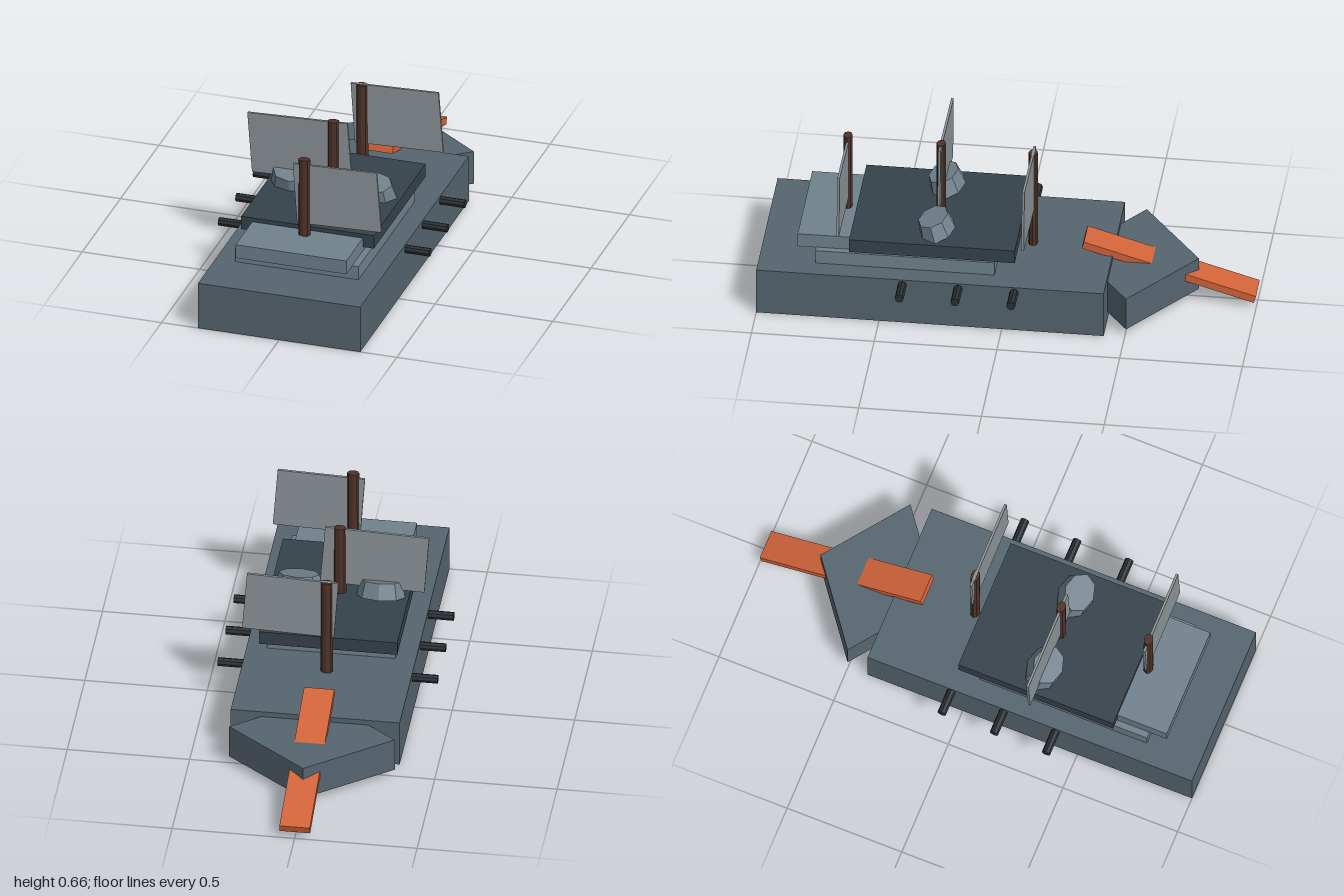
import * as THREE from 'three';

const paint = (color) => new THREE.MeshStandardMaterial({ color, flatShading: true });

export function createModel() {
  const ship = new THREE.Group();
  ship.name = 'ship';
  const slate = paint(0x56656f), dark = paint(0x36424b), light = paint(0x71828d);
  const wood = paint(0x4e3329), iron = paint(0x2a3035), orange = paint(0xd2643a);
  const canvas = paint(0x8c9498);
  canvas.side = THREE.DoubleSide;

  const add = (name, geometry, material, x = 0, y = 0, z = 0) => {
    const mesh = new THREE.Mesh(geometry, material);
    mesh.name = name;
    mesh.position.set(x, y, z);
    ship.add(mesh);
    return mesh;
  };

  // Centred block given by half width, height range and depth range
  const block = (name, material, hx, y0, y1, z0, z1) =>
    add(name, new THREE.BoxGeometry(2 * hx, y1 - y0, z1 - z0), material, 0, (y0 + y1) / 2, (z0 + z1) / 2);

  // Hull and stacked decks
  block('hull', slate, 0.345, 0, 0.203, -0.415, 1);
  block('lowerCabin', light, 0.262, 0.2, 0.262, 0.04, 0.77);
  block('upperCabin', light, 0.235, 0.26, 0.32, 0.2, 0.845);
  block('upperDeck', dark, 0.282, 0.28, 0.338, -0.045, 0.63);

  // Diamond-shaped prow and the plank running through it
  const diamond = new THREE.Shape([[0, 0.255], [-0.338, 0], [0, -0.255], [0.338, 0]]
    .map(([x, y]) => new THREE.Vector2(x, y)));
  const prowGeometry = new THREE.ExtrudeGeometry(diamond, { depth: 0.145, bevelEnabled: false });
  prowGeometry.rotateX(-Math.PI / 2);
  add('prow', prowGeometry, slate, 0, 0.035, -0.505);
  add('ram', new THREE.BoxGeometry(0.124, 0.032, 0.73), orange, 0, 0.143, -0.645).rotation.x = -0.285;

  // Guns along both sides
  for (const side of [-1, 1]) {
    for (const z of [-0.05, 0.178, 0.405]) {
      const gun = add('gun', new THREE.CylinderGeometry(0.018, 0.018, 0.2, 8), iron, side * 0.349, 0.18, z);
      gun.rotation.z = Math.PI / 2;
    }
    // Squat funnels leaning toward the front
    const funnel = add('funnel', new THREE.CylinderGeometry(0.084, 0.1, 0.068, 8), light, side * 0.168, 0.37, 0.292);
    funnel.rotation.x = 0.3;
    funnel.scale.z = 0.75;
  }

  // Masts, each with a slightly skewed sail: [z, foot, top, sail corners]
  const rigs = [
    [0.67, 0.31, 0.66, [[-0.048, 0.635], [0.308, 0.647], [0.328, 0.381], [-0.03, 0.37]]],
    [0.29, 0.33, 0.65, [[-0.365, 0.633], [0.06, 0.649], [0.08, 0.383], [-0.345, 0.368]]],
    [-0.085, 0.19, 0.635, [[-0.048, 0.635], [0.325, 0.648], [0.345, 0.382], [-0.03, 0.37]]],
  ];
  for (const [z, foot, top, corners] of rigs) {
    const mast = add('mast', new THREE.CylinderGeometry(0.025, 0.026, top - foot, 8), wood, 0, (foot + top) / 2, z);
    mast.scale.z = 0.75;
    const outline = new THREE.Shape(corners.map(([x, y]) => new THREE.Vector2(x, y)));
    const sail = new THREE.ExtrudeGeometry(outline, { depth: 0.01, bevelEnabled: false });
    add('sail', sail, canvas, 0, 0, z - 0.005);
  }
  return ship;
}
